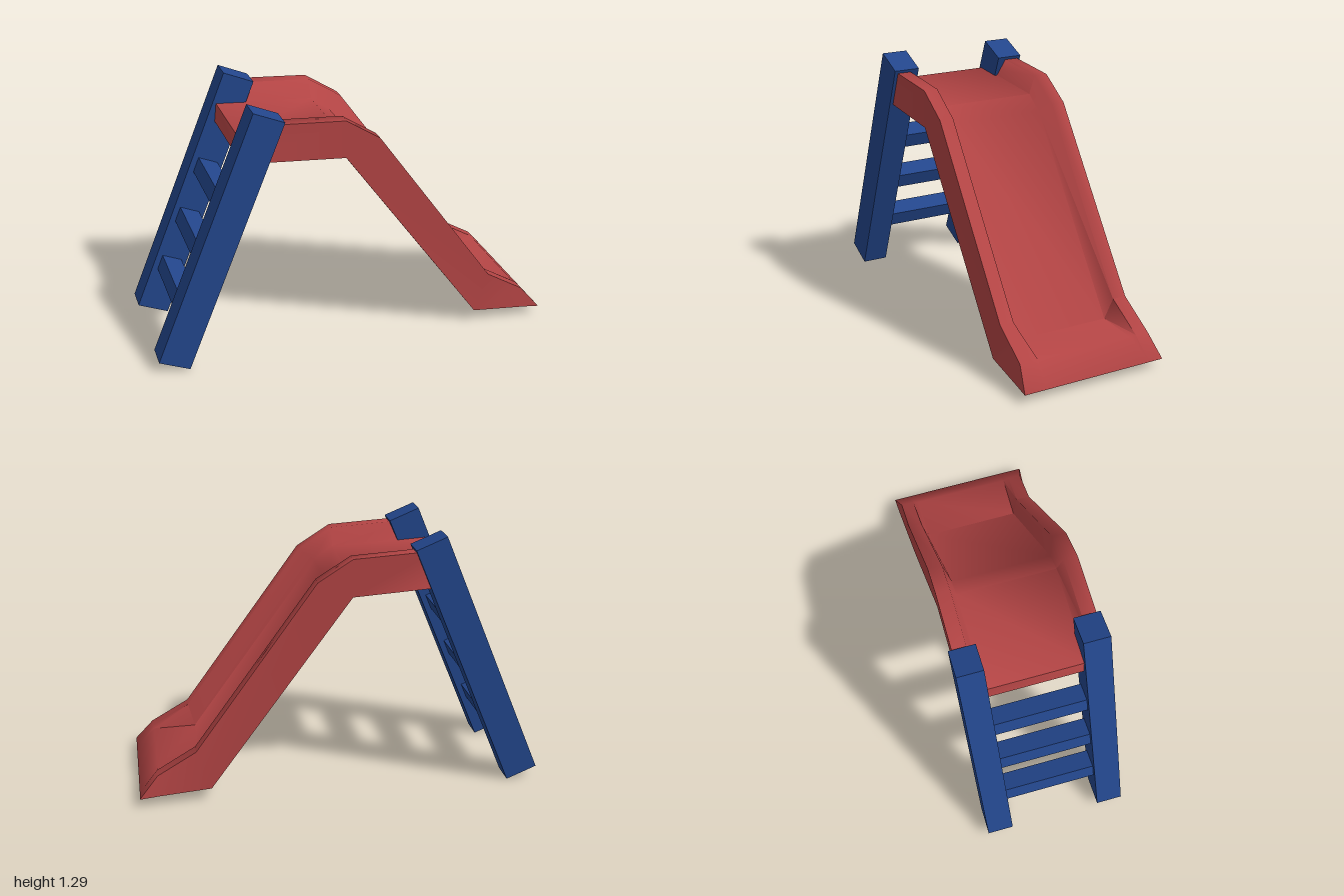
import * as THREE from 'three';
import { toCreasedNormals } from 'three/addons/utils/BufferGeometryUtils.js';

const red = new THREE.MeshStandardMaterial({ color: 0xb24444 });
red.name = 'slideRed';
const blue = new THREE.MeshStandardMaterial({ color: 0x23468c });
blue.name = 'ladderBlue';

function box(name, w, h, d, x, y, z) {
  const mesh = new THREE.Mesh(new THREE.BoxGeometry(w, h, d), blue);
  mesh.name = name;
  mesh.position.set(x, y, z);
  return mesh;
}

// Chute: U-shaped sections along x, each given for one half as
// [x, y, z] of base edge, outer rail edge, inner rail edge, floor edge
function createChute() {
  const sections = [
    [[-0.555, 1.042, 0.345], [-0.45, 1.22, 0.345], [-0.45, 1.22, 0.275], [-0.545, 1.135, 0.245]],
    [[-0.05, 1.01, 0.345], [-0.05, 1.197, 0.345], [-0.05, 1.197, 0.275], [-0.05, 1.105, 0.245]],
    [[0.05, 0.875, 0.345], [0.12, 1.09, 0.345], [0.12, 1.09, 0.275], [0.047, 1.037, 0.245]],
    [[0.65, 0.065, 0.345], [0.72, 0.265, 0.345], [0.72, 0.265, 0.275], [0.69, 0.155, 0.248]],
    [[0.91, 0.054, 0.367], [0.91, 0.155, 0.348], [0.91, 0.155, 0.28], [0.905, 0.15, 0.25]],
    [[1, 0.047, 0.373], [1, 0.05, 0.373], [1, 0.05, 0.3], [1, 0.05, 0.25]],
  ];
  const positions = [];
  const index = [];
  for (const half of sections) {
    const mirrored = half.map(([x, y, z]) => [x, y, -z]).reverse();
    positions.push(...half.flat(), ...mirrored.flat());
  }
  for (let i = 0; i < sections.length - 1; i++) {
    for (let j = 0; j < 8; j++) {
      const k = (j + 1) % 8;
      const a = i * 8 + j, b = i * 8 + k, c = b + 8, d = a + 8;
      index.push(a, d, c, a, c, b);
    }
  }
  // end caps
  const cap = [[0, 1, 2], [0, 2, 3], [0, 3, 4], [0, 4, 7], [7, 4, 5], [7, 5, 6]];
  const last = (sections.length - 1) * 8;
  for (const [a, b, c] of cap) index.push(a, b, c, last + a, last + c, last + b);

  const geometry = new THREE.BufferGeometry();
  geometry.setAttribute('position', new THREE.Float32BufferAttribute(positions, 3));
  geometry.setIndex(index);
  const mesh = new THREE.Mesh(toCreasedNormals(geometry, 1.3), red);
  mesh.name = 'slideChute';
  return mesh;
}

// Leaning ladder: two posts and three rungs, built upright and then tilted
function createLadder() {
  const ladder = new THREE.Group();
  ladder.name = 'ladder';
  const length = 1.323;
  for (const side of [1, -1]) {
    const name = side > 0 ? 'leftPost' : 'rightPost';
    ladder.add(box(name, 0.162, length, 0.131, 0, length / 2, side * 0.297));
  }
  [0.2, 0.412, 0.625].forEach((t, i) => {
    ladder.add(box('rung' + (i + 1), 0.103, 0.08, 0.48, 0, t * length, 0));
  });
  ladder.position.set(-0.925, 0.035, 0);
  ladder.rotation.z = -Math.atan2(0.5, 1.225);
  return ladder;
}

export function createModel() {
  const model = new THREE.Group();
  model.name = 'playgroundSlide';
  model.add(createChute(), createLadder());
  return model;
}
